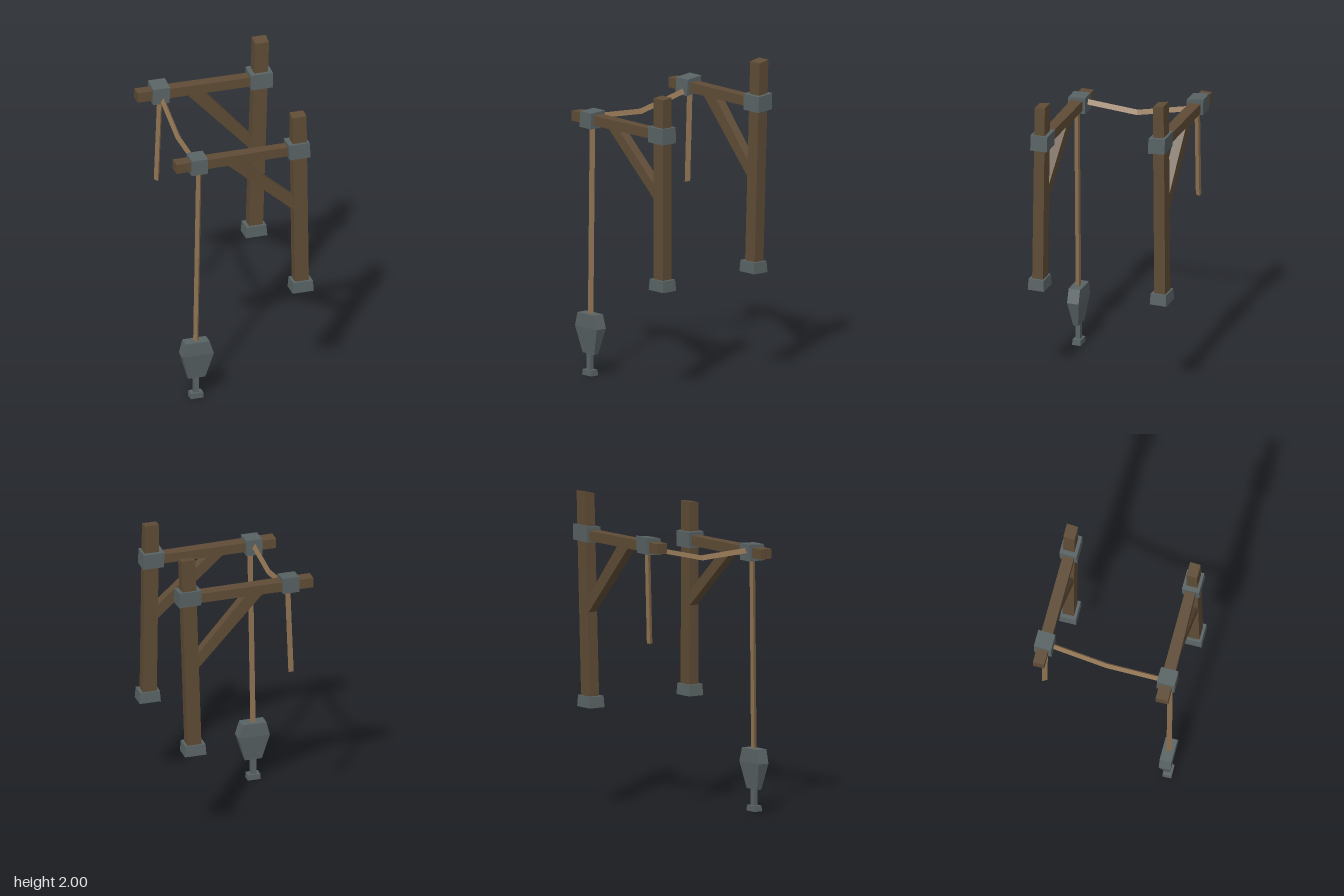
import * as THREE from 'three';

// Skins a row of matching outlines (counter-clockwise along the row) and caps both ends.
function loft(rings) {
  const pos = [];
  const tri = (a, b, c) => pos.push(...a, ...b, ...c);
  const n = rings[0].length;
  const first = rings[0], last = rings[rings.length - 1];
  for (let r = 0; r < rings.length - 1; r++) {
    for (let i = 0; i < n; i++) {
      const j = (i + 1) % n;
      tri(rings[r][i], rings[r][j], rings[r + 1][j]);
      tri(rings[r][i], rings[r + 1][j], rings[r + 1][i]);
    }
  }
  for (let i = 1; i < n - 1; i++) {
    tri(first[0], first[i + 1], first[i]);
    tri(last[0], last[i], last[i + 1]);
  }
  const geo = new THREE.BufferGeometry();
  geo.setAttribute('position', new THREE.Float32BufferAttribute(pos, 3));
  geo.computeVertexNormals();
  return geo;
}

// Level rectangle at height y; slope raises the rear edge.
const level = (y, x0, x1, z0, z1, slope = 0) =>
  [[x0, y, z1], [x1, y, z1], [x1, y + slope, z0], [x0, y + slope, z0]];

// Upright cut through a bar, from its lower to its upper edge.
const cut = (lo, hi, z0, z1) => [[...lo, z0], [...hi, z0], [...hi, z1], [...lo, z1]];

// Triangular rope outlines: the ridge faces forward when hanging, up when strung across.
const R = 0.02, S = 0.0173;
const hang = ([x, y, z]) => [[x, y, z + R], [x + S, y, z - R / 2], [x - S, y, z - R / 2]];
const strung = ([x, y, z]) => [[x, y + R, z], [x + S, y - R / 2, z], [x - S, y - R / 2, z]];

export function createModel() {
  const wood = new THREE.MeshStandardMaterial({ color: 0x5f4c36 });
  const iron = new THREE.MeshStandardMaterial({ color: 0x596364 });
  const rope = new THREE.MeshStandardMaterial({ color: 0x8f7352 });
  wood.name = 'dark wood';
  iron.name = 'grey iron';
  rope.name = 'tan rope';

  const model = new THREE.Group();
  model.name = 'hoist';
  const add = (parent, name, material, rings) => {
    const mesh = new THREE.Mesh(loft(rings), material);
    mesh.name = name;
    parent.add(mesh);
  };

  // Each frame: slightly crooked post, beam, brace, iron fittings and hanging rope
  const frames = [
    {
      name: 'frontFrame',
      post: [level(0.69, 0.325, 0.415, 0.36, 0.432), level(1.86, 0.312, 0.403, 0.352, 0.42, 0.008)],
      base: [0.303, 0.44, 0.345, 0.452],
      beam: [cut([-0.448, 1.597], [-0.448, 1.66], 0.35, 0.43), cut([0.36, 1.597], [0.36, 1.658], 0.35, 0.414)],
      brace: [[-0.13, 1.615], [-0.025, 1.615], [0.33, 1.207], [0.33, 1.3]],
      braceZ: [0.36, 0.42],
      postCollar: [level(1.58, 0.287, 0.423, 0.332, 0.442), level(1.68, 0.283, 0.418, 0.33, 0.44)],
      endCollar: [level(1.575, -0.355, -0.25, 0.333, 0.447), level(1.675, -0.352, -0.247, 0.333, 0.445, 0.006)],
      rope: [[-0.29, 1.6, 0.4], [-0.309, 0.38, 0.398]],
    },
    {
      name: 'rearFrame',
      post: [level(0.69, 0.28, 0.37, -0.435, -0.362), level(1.985, 0.322, 0.412, -0.44, -0.368, 0.015)],
      base: [0.253, 0.392, -0.45, -0.34],
      beam: [cut([-0.445, 1.698], [-0.445, 1.763], -0.438, -0.365), cut([0.36, 1.695], [0.36, 1.757], -0.434, -0.362)],
      brace: [[-0.135, 1.715], [-0.02, 1.715], [0.33, 1.21], [0.33, 1.31]],
      braceZ: [-0.43, -0.37],
      postCollar: [level(1.677, 0.288, 0.43, -0.452, -0.342, 0.01), level(1.777, 0.286, 0.43, -0.456, -0.346, 0.012)],
      endCollar: [level(1.677, -0.352, -0.245, -0.452, -0.342, 0.01), level(1.78, -0.35, -0.24, -0.456, -0.346, 0.014)],
      rope: [[-0.287, 1.7, -0.4], [-0.309, 1.12, -0.4]],
    },
  ];

  for (const f of frames) {
    const group = new THREE.Group();
    group.name = f.name;
    model.add(group);
    add(group, 'post', wood, f.post);
    add(group, 'beam', wood, f.beam);
    const [lo0, hi0, lo1, hi1] = f.brace;
    add(group, 'brace', wood, [cut(lo0, hi0, ...f.braceZ), cut(lo1, hi1, ...f.braceZ)]);
    add(group, 'postCollar', iron, f.postCollar);
    add(group, 'endCollar', iron, f.endCollar);

    // Base shoe with a recess underneath
    const [x0, x1, z0, z1] = f.base, t = 0.025;
    const inner = [x0 + t, x1 - t, z0 + t, z1 - t];
    add(group, 'baseShoe', iron, [
      level(0.695, ...inner), level(0.647, ...inner),
      level(0.647, x0, x1, z0, z1), level(0.718, x0 + 0.005, x1 - 0.005, z0 + 0.004, z1 - 0.004),
    ]);

    // Lowest outline first, so the rope is skinned upwards
    add(group, 'hangingRope', rope, [hang(f.rope[1]), hang(f.rope[0])]);
  }

  // Sagging rope between the two frames
  add(model, 'crossRope', rope,
    [[-0.306, 1.636, 0.35], [-0.297, 1.617, 0], [-0.285, 1.702, -0.36]].map(strung));

  // Counterweight with stem and foot
  const weight = new THREE.Group();
  weight.name = 'counterweight';
  model.add(weight);
  add(weight, 'weightBody', iron, [
    level(0.138, -0.365, -0.255, 0.381, 0.413),
    level(0.305, -0.41, -0.206, 0.36, 0.436),
    level(0.393, -0.388, -0.234, 0.36, 0.436),
  ]);
  add(weight, 'weightStem', iron, [level(0.03, -0.329, -0.295, 0.383, 0.412), level(0.145, -0.329, -0.295, 0.383, 0.412)]);
  add(weight, 'weightFoot', iron, [level(0, -0.354, -0.27, 0.37, 0.426), level(0.036, -0.352, -0.272, 0.37, 0.426)]);

  return model;
}
